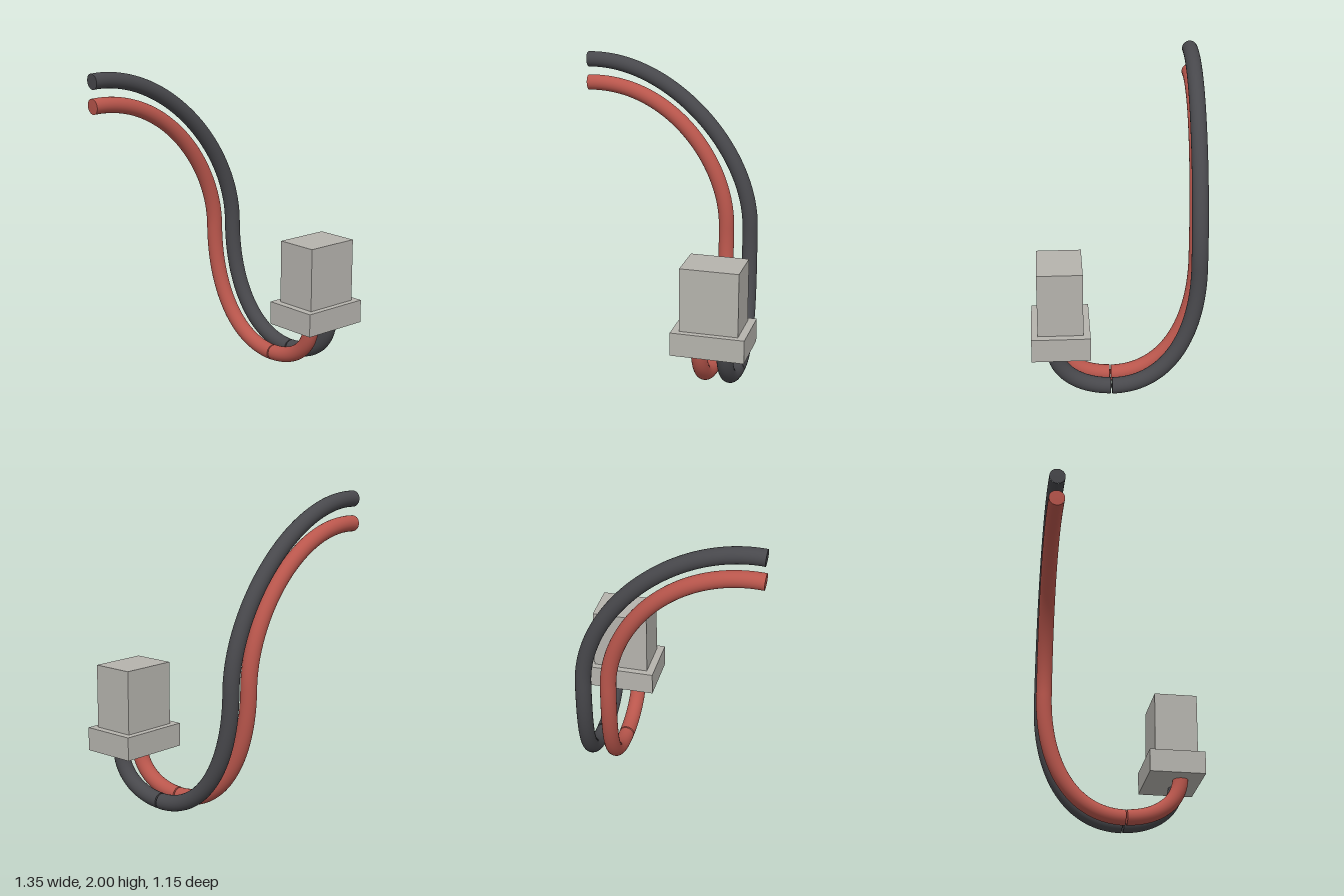
import * as THREE from 'three';

const RADIUS = 0.052;
const v = (x, y, z) => new THREE.Vector3(x, y, z);

const mat = (name, color) => {
  const m = new THREE.MeshStandardMaterial({ color });
  m.name = name;
  return m;
};

// Round cable along a path, closed at both ends; a bulge makes the cap a shallow cone
function cable(name, path, segments, material, bulges) {
  const group = new THREE.Group();
  group.name = name;
  const sleeve = new THREE.Mesh(new THREE.TubeGeometry(path, segments, RADIUS, 24), material);
  sleeve.name = name + 'Sleeve';
  group.add(sleeve);
  [0, 1].forEach((t) => {
    const out = path.getTangentAt(t).multiplyScalar(t ? 1 : -1);
    const h = bulges[t];
    const geo = new THREE.ConeGeometry(RADIUS, h, 24, 1, true).translate(0, h / 2, 0);
    const cap = new THREE.Mesh(geo, material);
    cap.name = name + 'End';
    cap.quaternion.setFromUnitVectors(v(0, 1, 0), out);
    cap.position.copy(path.getPointAt(t));
    group.add(cap);
  });
  return group;
}

function box(name, size, pos, material) {
  const m = new THREE.Mesh(new THREE.BoxGeometry(...size), material);
  m.name = name;
  m.position.set(...pos);
  return m;
}

export function createModel() {
  const model = new THREE.Group();
  model.name = 'cabledConnector';
  const grey = mat('connectorGrey', 0xb5b3ad);
  const red = mat('cableRed', 0xb9564c);
  const dark = mat('cableDark', 0x48484c);

  // Connector block on its wider flange
  model.add(box('connectorBody', [0.376, 0.416, 0.286], [0.438, 0.69, 0.392], grey));
  model.add(box('connectorFlange', [0.474, 0.153, 0.37], [0.438, 0.406, 0.39], grey));

  // Each cable: a short lead under the connector, then a long sweep up and over
  const cables = [
    { name: 'red', x: 0.355, material: red, rise: 1.3, topX: -0.1, topY: 1.825, endY: 1.785 },
    { name: 'dark', x: 0.52, material: dark, rise: 1.4, topX: -0.1, topY: 1.985, endY: 1.945 },
  ];
  for (const { name, x, material, rise, topX, topY, endY } of cables) {
    const lead = new THREE.CubicBezierCurve3(
      v(x, 0.36, 0.435), v(x, 0.15, 0.435), v(x, 0.06, 0.25), v(x, 0.057, 0.075));
    model.add(cable(name + 'Lead', lead, 32, material, [0.001, 0.005]));

    const bx = x - 0.045;
    const sweep = new THREE.CurvePath();
    sweep.add(new THREE.CubicBezierCurve3(
      v(x, 0.055, 0.065), v(x, 0.055, -0.3), v(bx + 0.003, 0.4, -0.485), v(bx, 0.85, -0.487)));
    sweep.add(new THREE.CubicBezierCurve3(
      v(bx, 0.85, -0.487), v(bx, rise, -0.49), v(topX, topY, -0.52), v(-0.675, endY, -0.525)));
    model.add(cable(name + 'Sweep', sweep, 96, material, [0.005, 0.001]));
  }
  return model;
}
